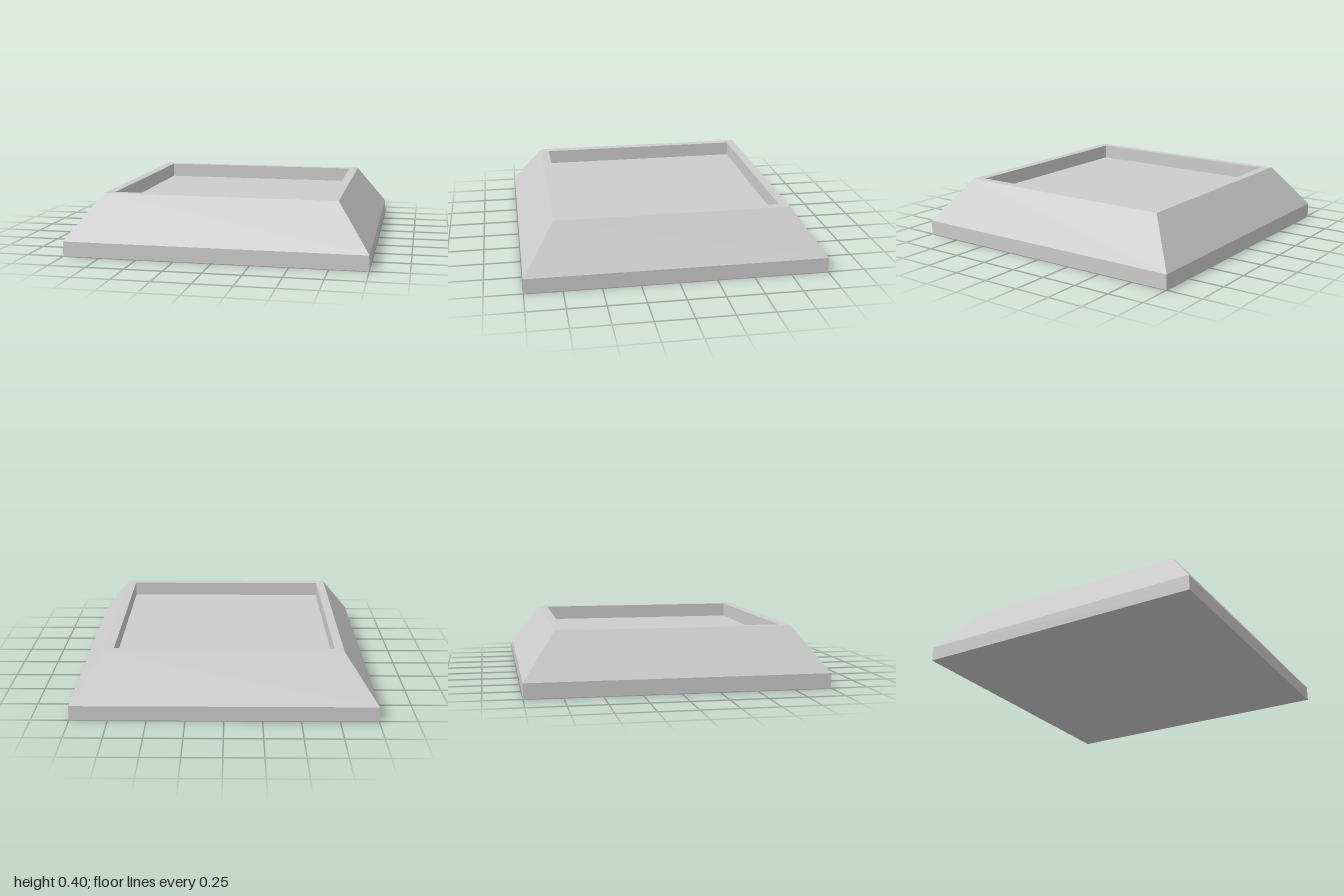
import * as THREE from 'three';

// Square ring surface: sweeps [half width, height] points around four flat sides
function squareLoft(name, profile, material) {
  const points = profile.map(([half, y]) => new THREE.Vector2(half * Math.SQRT2, y));
  const geometry = new THREE.LatheGeometry(points, 4, Math.PI / 4).toNonIndexed();
  geometry.computeVertexNormals();
  const mesh = new THREE.Mesh(geometry, material);
  mesh.name = name;
  return mesh;
}

export function createModel() {
  const model = new THREE.Group();
  model.name = 'squarePedestal';
  const stone = new THREE.MeshStandardMaterial({ color: 0xcccccc });
  stone.name = 'light grey';

  const baseTop = 0.1, rimTop = 0.395, floorY = 0.295;
  const rimOuter = 0.785, rimInner = 0.725;

  // Underside and upright edge
  model.add(squareLoft('base', [[0, 0], [1, 0], [1, baseTop]], stone));
  // Four sloping sides
  model.add(squareLoft('slopedSides', [[1, baseTop], [rimOuter, rimTop]], stone));
  // Flat lip around the recess
  model.add(squareLoft('rim', [[rimOuter, rimTop], [rimInner, rimTop]], stone));
  // Sunken tray: inner walls and floor
  model.add(squareLoft('recess', [[rimInner, rimTop], [rimInner, floorY], [0, floorY]], stone));

  return model;
}
